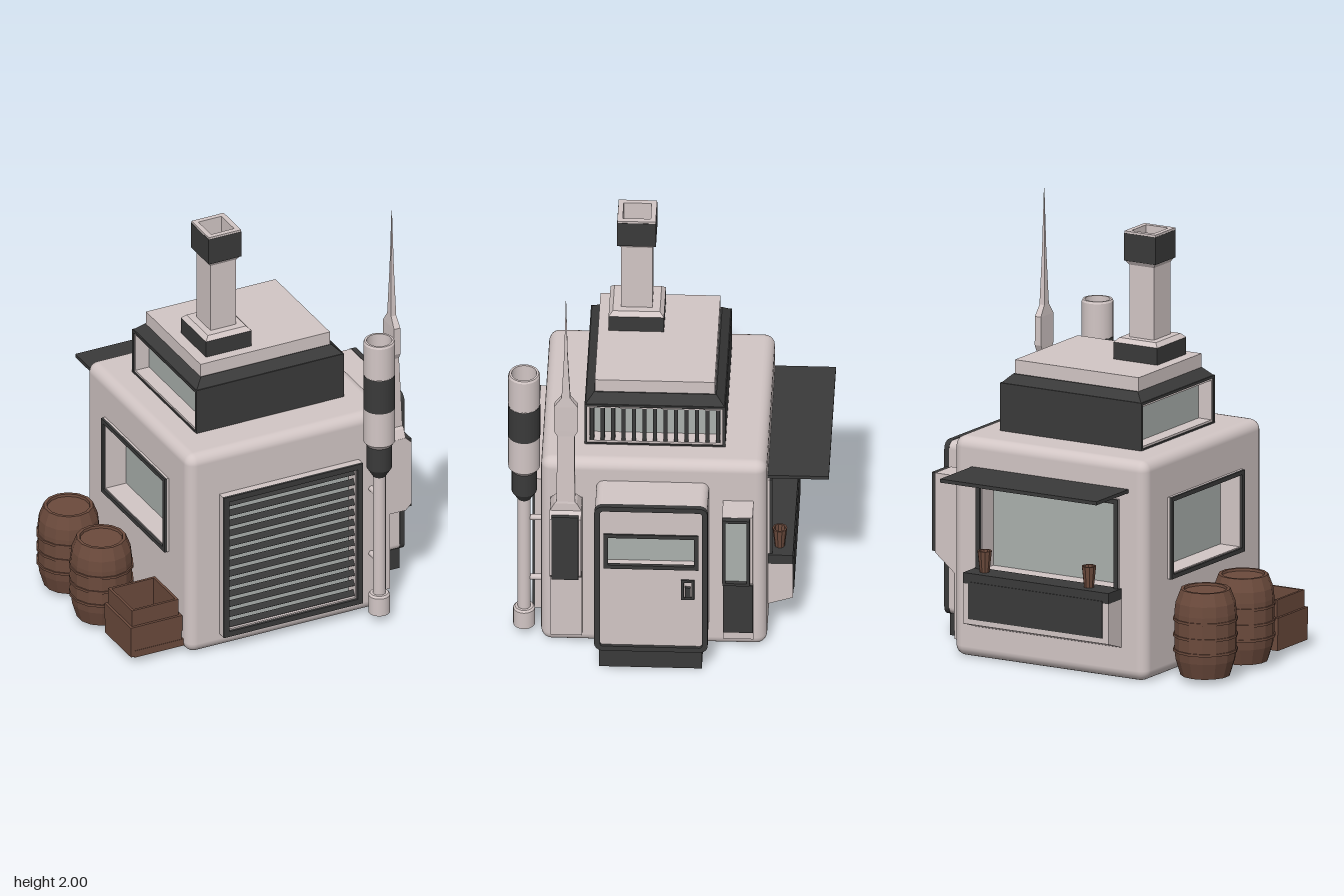
import * as THREE from 'three';
import { RoundedBoxGeometry } from 'three/addons/geometries/RoundedBoxGeometry.js';

const mat = (color, flatShading = false, side = THREE.FrontSide) =>
  new THREE.MeshStandardMaterial({ color, flatShading, side });
const LIGHT = mat(0xd2c6c5), DARK = mat(0x3a3a3a), GLASS = mat(0xaab0ad);
const WOOD = mat(0x6b4a3c, true, THREE.DoubleSide);
const LIGHT2 = mat(0xd2c6c5, false, THREE.DoubleSide);
const DARK2 = mat(0x3a3a3a, false, THREE.DoubleSide);

export function createModel() {
  const model = new THREE.Group();
  model.name = 'kiosk';

  const add = (name, geo, material, x = 0, y = 0, z = 0, parent = model) => {
    const m = new THREE.Mesh(geo, material);
    m.name = name;
    m.position.set(x, y, z);
    parent.add(m);
    return m;
  };
  // box given by its limits
  const box = (name, material, x0, x1, y0, y1, z0, z1, parent = model) =>
    add(name, new THREE.BoxGeometry(x1 - x0, y1 - y0, z1 - z0), material,
      (x0 + x1) / 2, (y0 + y1) / 2, (z0 + z1) / 2, parent);
  // rounded rectangle outline
  const rect = (w, h, r = 0, x = 0, y = 0, Type = THREE.Shape) => {
    const p = new Type(), a = w / 2, b = h / 2;
    if (!r) {
      p.setFromPoints([[-a, -b], [a, -b], [a, b], [-a, b]].map(([u, v]) => new THREE.Vector2(x + u, y + v)));
      p.closePath();
      return p;
    }
    p.moveTo(x - a + r, y - b);
    p.lineTo(x + a - r, y - b).absarc(x + a - r, y - b + r, r, -Math.PI / 2, 0);
    p.lineTo(x + a, y + b - r).absarc(x + a - r, y + b - r, r, 0, Math.PI / 2);
    p.lineTo(x - a + r, y + b).absarc(x - a + r, y + b - r, r, Math.PI / 2, Math.PI);
    p.lineTo(x - a, y - b + r).absarc(x - a + r, y - b + r, r, Math.PI, Math.PI * 1.5);
    return p;
  };
  const extrude = (shape, depth, z = 0) =>
    new THREE.ExtrudeGeometry(shape, { depth, bevelEnabled: false, curveSegments: 5 }).translate(0, 0, z);
  // frame with a hole, running from z0 to z1
  const ring = (w, h, b, z0, z1, r = 0) => {
    const s = rect(w, h, r);
    s.holes.push(rect(w - 2 * b, h - 2 * b, Math.max(0, r - b), 0, 0, THREE.Path));
    return extrude(s, z1 - z0, z0);
  };
  // stack of rectangles [y, halfX, halfZ, xShift] joined into a flat-sided body
  const loft = (rows) => {
    const v = [], c = [[-1, 1], [1, 1], [1, -1], [-1, -1]];
    const pt = ([y, hx, hz, s = 0], i) => [s + c[i % 4][0] * hx, y, c[i % 4][1] * hz];
    const quad = (a, b, d, e) => v.push(...a, ...b, ...d, ...a, ...d, ...e);
    for (let k = 0; k + 1 < rows.length; k++)
      for (let i = 0; i < 4; i++)
        quad(pt(rows[k], i), pt(rows[k], i + 1), pt(rows[k + 1], i + 1), pt(rows[k + 1], i));
    const lo = rows[0], hi = rows[rows.length - 1];
    quad(pt(lo, 3), pt(lo, 2), pt(lo, 1), pt(lo, 0));
    quad(pt(hi, 0), pt(hi, 1), pt(hi, 2), pt(hi, 3));
    const g = new THREE.BufferGeometry();
    g.setAttribute('position', new THREE.Float32BufferAttribute(v, 3));
    g.computeVertexNormals();
    return g;
  };
  // recessed window: casing, dark trim and pane, facing its local +z
  const windowUnit = (name, w, h, b, inner, outer, x, y, z, turn) => {
    const g = new THREE.Group();
    g.name = name;
    g.position.set(x, y, z);
    g.rotation.y = turn;
    model.add(g);
    add('casing', ring(w, h, b, -inner, outer - 0.012), LIGHT, 0, 0, 0, g);
    add('trim', ring(w, h, b * 0.8, outer - 0.012, outer), DARK, 0, 0, 0, g);
    add('pane', new THREE.PlaneGeometry(w - b, h - b), GLASS, 0, 0, -inner + 0.005, g);
    return g;
  };

  // main body: rounded box whose front, back and right walls have openings
  const L = { x0: -0.45, x1: 0.585, y0: 0, y1: 1.035, z0: -0.455, z1: 0.58 };
  const S = 1.035, R = 0.05, CX = 0.0675, CY = 0.5175, CZ = 0.0625;
  const shell = new RoundedBoxGeometry(S, S, S, 3, R);
  const src = shell.attributes.position, nor = shell.attributes.normal, keepP = [], keepN = [];
  const t = new THREE.Triangle();
  for (let i = 0; i < src.count; i += 3) {
    t.setFromAttributeAndIndices(src, i, i + 1, i + 2);
    const n = t.getNormal(new THREE.Vector3());
    if (t.getArea() > 0.3 && (Math.abs(n.z) > 0.9 || n.x < -0.9)) continue;
    for (let j = i; j < i + 3; j++) {
      keepP.push(src.getX(j), src.getY(j), src.getZ(j));
      keepN.push(nor.getX(j), nor.getY(j), nor.getZ(j));
    }
  }
  const bodyGeo = new THREE.BufferGeometry();
  bodyGeo.setAttribute('position', new THREE.Float32BufferAttribute(keepP, 3));
  bodyGeo.setAttribute('normal', new THREE.Float32BufferAttribute(keepN, 3));
  add('body', bodyGeo, LIGHT, CX, CY, CZ);
  const wall = (name, w, h, yc, x, z, turn) => {
    const s = rect(S - 2 * R, S - 2 * R);
    s.holes.push(rect(w - 0.01, h - 0.01, 0, 0, yc - CY, THREE.Path));
    add(name, new THREE.ShapeGeometry(s), LIGHT, x, CY, z).rotation.y = turn;
  };
  wall('frontWall', 0.715, 0.735, 0.4425, CX, L.z1, 0);
  wall('backWall', 0.76, 0.45, 0.625, CX, L.z0, Math.PI);
  wall('rightWall', 0.64, 0.385, 0.6425, L.x0, CZ, -Math.PI / 2);

  // shutter, serving window and side window
  const shutter = windowUnit('shutter', 0.715, 0.735, 0.034, 0.04, 0.045, CX, 0.4425, L.z1, 0);
  for (let i = 0; i < 13; i++)
    add('slat', new THREE.BoxGeometry(0.65, 0.03, 0.012), DARK, 0, -0.318 + i * 0.053, 0.015, shutter).rotation.x = -0.6;
  windowUnit('servingWindow', 0.76, 0.45, 0.025, 0.1, 0.02, CX, 0.625, L.z0, Math.PI);
  windowUnit('sideWindow', 0.64, 0.385, 0.025, 0.1, 0.022, L.x0, 0.6425, CZ, -Math.PI / 2);

  // awning, counter and cups at the back
  box('awning', DARK, -0.36, 0.48, 0.885, 0.902, -0.735, -0.45);
  const side = new THREE.Shape([[0.45, 0.15], [0.57, 0.19], [0.57, 0.38], [0.45, 0.38]].map((p) => new THREE.Vector2(...p)));
  add('counter', extrude(side, 0.78, -0.39), LIGHT, CX, 0, 0).rotation.y = Math.PI / 2;
  box('counterTop', DARK, CX - 0.39, CX + 0.39, 0.38, 0.43, -0.57, -0.45);
  box('counterPanel', DARK, CX - 0.36, CX + 0.36, 0.215, 0.39, -0.574, -0.56);
  for (const x of [-0.18, 0.38])
    add('cup', new THREE.LatheGeometry([[0, 0], [0.023, 0], [0.034, 0.1], [0.026, 0.1], [0.02, 0.03], [0, 0.03]]
      .map((p) => new THREE.Vector2(...p)), 10), WOOD, x, 0.43, -0.507);

  // door porch, built facing local +z and turned towards +x
  const porch = new THREE.Group();
  porch.name = 'doorPorch';
  porch.position.set(0, 0, 0.0675);
  porch.rotation.y = Math.PI / 2;
  model.add(porch);
  const front = rect(0.515, 0.815, 0.035, 0, 0.52);
  front.holes.push(rect(0.41, 0.18, 0, 0, 0.67, THREE.Path));
  add('porchWalls', extrude(front, 0.215, 0.56), LIGHT, 0, 0, 0, porch);
  add('doorSurround', ring(0.52, 0.82, 0.026, 0.765, 0.79, 0.04), DARK, 0, 0.52, 0, porch);
  add('doorWindowTrim', ring(0.435, 0.195, 0.02, 0.765, 0.782), DARK, 0, 0.67, 0, porch);
  add('doorWindow', new THREE.PlaneGeometry(0.42, 0.19), GLASS, 0, 0.67, 0.72, porch);
  add('handlePlate', ring(0.06, 0.11, 0.012, 0.765, 0.783), DARK, 0.168, 0.46, 0, porch);
  add('handle', new THREE.BoxGeometry(0.026, 0.055, 0.02), DARK, 0.168, 0.45, 0.78, porch);
  box('step', DARK, 0.55, 0.775, 0.01, 0.115, -0.165, 0.305);

  // wall columns either side of the porch
  const column = (name, pts, w, z) =>
    add(name, extrude(new THREE.Shape(pts.map((p) => new THREE.Vector2(...p))), w, -w / 2), LIGHT, 0, 0, z);
  column('mastColumn', [[0.55, 0.06], [0.61, 0.06], [0.61, 0.45], [0.69, 0.45], [0.72, 0.48], [0.72, 0.8],
    [0.69, 0.83], [0.55, 0.83]], 0.145, 0.4625);
  box('mastPanel', DARK, 0.68, 0.724, 0.46, 0.815, 0.403, 0.525);
  column('bayColumn', [[0.55, 0.06], [0.61, 0.06], [0.61, 0.37], [0.715, 0.455], [0.715, 0.83], [0.55, 0.83]], 0.14, -0.325);
  box('bayLowerPanel', DARK, 0.6, 0.616, 0.1, 0.37, -0.392, -0.258);
  add('bayWindowFrame', ring(0.125, 0.37, 0.014, 0.71, 0.74), DARK, 0, 0.643, -0.32).rotation.y = Math.PI / 2;
  add('bayWindow', new THREE.PlaneGeometry(0.105, 0.35), GLASS, 0.72, 0.643, -0.32).rotation.y = Math.PI / 2;

  // antenna mast
  add('antenna', loft([[0.83, 0.05, 0.072, -0.015], [0.87, 0.036, 0.052], [0.88, 0.034, 0.042], [1.24, 0.017, 0.04],
    [1.27, 0.017, 0.055], [1.405, 0.016, 0.055], [1.455, 0.013, 0.02], [1.7, 0.007, 0.008], [2, 0.001, 0.001]]),
    LIGHT, 0.655, 0, 0.462);

  // roof unit: dark core with recessed ends, chamfered cap and light slab
  const RX = 0.07;
  box('roofCore', DARK, -0.23, 0.37, 1.02, 1.26, -0.26, 0.385);
  for (const s of [-1, 1]) {
    const end = new THREE.Group();
    end.name = 'roofVent';
    end.position.set(RX + s * 0.38, 1.145, 0.0625);
    end.rotation.y = s * Math.PI / 2;
    model.add(end);
    add('ventFrame', ring(0.645, 0.23, 0.012, -0.09, 0), DARK, 0, 0, 0, end);
    add('ventLining', ring(0.621, 0.206, 0.01, -0.09, -0.006), LIGHT, 0, 0, 0, end);
    add('ventBack', new THREE.PlaneGeometry(0.61, 0.2), GLASS, 0, 0, -0.075, end);
    for (let i = 0; s > 0 && i < 13; i++)
      add('ventBar', new THREE.BoxGeometry(0.018, 0.2, 0.025), DARK, -0.288 + i * 0.048, 0, -0.02, end);
  }
  add('roofCap', loft([[1.255, 0.38, 0.3225], [1.3, 0.335, 0.28]]), DARK, RX, 0, 0.0625);
  box('roofSlab', LIGHT, -0.265, 0.4, 1.29, 1.365, -0.21, 0.34);

  // square chimney
  const H = [-0.095, 0, 0.165];
  add('chimneyBase', loft([[1.36, 0.117, 0.127], [1.445, 0.117, 0.127]]), DARK, ...H);
  add('chimneyCollar', loft([[1.445, 0.117, 0.127], [1.465, 0.098, 0.108]]), LIGHT, ...H);
  add('chimneyShaft', loft([[1.46, 0.066, 0.072], [1.805, 0.066, 0.072], [1.83, 0.083, 0.088]]), LIGHT, ...H);
  const sq = (w, d, b, y0, y1) => ring(w, d, b, y0, y1).rotateX(-Math.PI / 2);
  add('chimneyHood', sq(0.168, 0.178, 0.016, 1.825, 1.955), DARK, ...H);
  add('chimneyRim', sq(0.166, 0.176, 0.024, 1.955, 1.965), LIGHT, ...H);
  add('chimneyLining', sq(0.138, 0.148, 0.01, 1.828, 1.958), LIGHT, ...H);

  // round exhaust pipe at the front corner: [y, radius] runs
  const P = [0.49, 0, 0.66];
  const pipe = (name, pts, material) =>
    pts.slice(1).forEach(([y, r], i) => {
      const [py, pr] = pts[i];
      if (y === py) return add(name, new THREE.RingGeometry(Math.min(r, pr), Math.max(r, pr), 20).rotateX(-Math.PI / 2), material, P[0], y, P[2]);
      add(name, new THREE.CylinderGeometry(r, pr, Math.abs(y - py), 20, 1, true), material, P[0], (y + py) / 2, P[2]);
    });
  pipe('pipeFoot', [[0.035, 0.001], [0.035, 0.05], [0.125, 0.05], [0.135, 0.042], [0.135, 0.03]], LIGHT2);
  pipe('pipe', [[0.13, 0.03], [0.755, 0.03]], LIGHT2);
  pipe('pipeNeck', [[0.75, 0.03], [0.795, 0.058], [0.925, 0.058]], DARK2);
  pipe('stackLower', [[0.915, 0.058], [0.935, 0.073], [1.11, 0.073]], LIGHT2);
  pipe('stackBand', [[1.11, 0.074], [1.285, 0.074]], DARK2);
  pipe('stackUpper', [[1.285, 0.073], [1.45, 0.073], [1.46, 0.068], [1.46, 0.058]], LIGHT2);
  add('stackBore', new THREE.CylinderGeometry(0.058, 0.058, 0.26, 20, 1, true), LIGHT2, P[0], 1.33, P[2]);
  add('stackFloor', new THREE.CircleGeometry(0.073, 20).rotateX(-Math.PI / 2), DARK2, P[0], 1.2, P[2]);
  for (const y of [0.3, 0.64])
    add('pipeBracket', new THREE.CylinderGeometry(0.014, 0.014, 0.12, 10).rotateX(Math.PI / 2), LIGHT, P[0], y, 0.6);

  // barrels with hoops
  const stave = [[0, 0.025], [0.115, 0.025], [0.138, 0.1], [0.144, 0.15], [0.144, 0.32], [0.138, 0.37],
    [0.115, 0.43], [0.1, 0.43], [0.098, 0.418], [0, 0.418]].map((p) => new THREE.Vector2(...p));
  for (const z of [-0.245, 0.085]) {
    add('barrel', new THREE.LatheGeometry(stave, 14), WOOD, -0.645, 0, z);
    for (const y of [0.145, 0.215, 0.29])
      add('barrelHoop', new THREE.CylinderGeometry(0.15, 0.15, 0.012, 14), WOOD, -0.645, y, z);
  }

  // open crate of stacked planks
  const C = [-0.588, 0, 0.398];
  [[0.26, 0.035, 0.11], [0.265, 0.11, 0.19], [0.24, 0.19, 0.272]].forEach(([w, y0, y1]) =>
    add('cratePlanks', sq(w, w, (w - 0.215) / 2, y0, y1), WOOD, ...C));
  box('crateFloor', WOOD, -0.7, -0.476, 0.03, 0.06, 0.286, 0.51);
  box('crateRunner', WOOD, -0.7, -0.445, 0.03, 0.065, 0.39, 0.53);

  return model;
}
